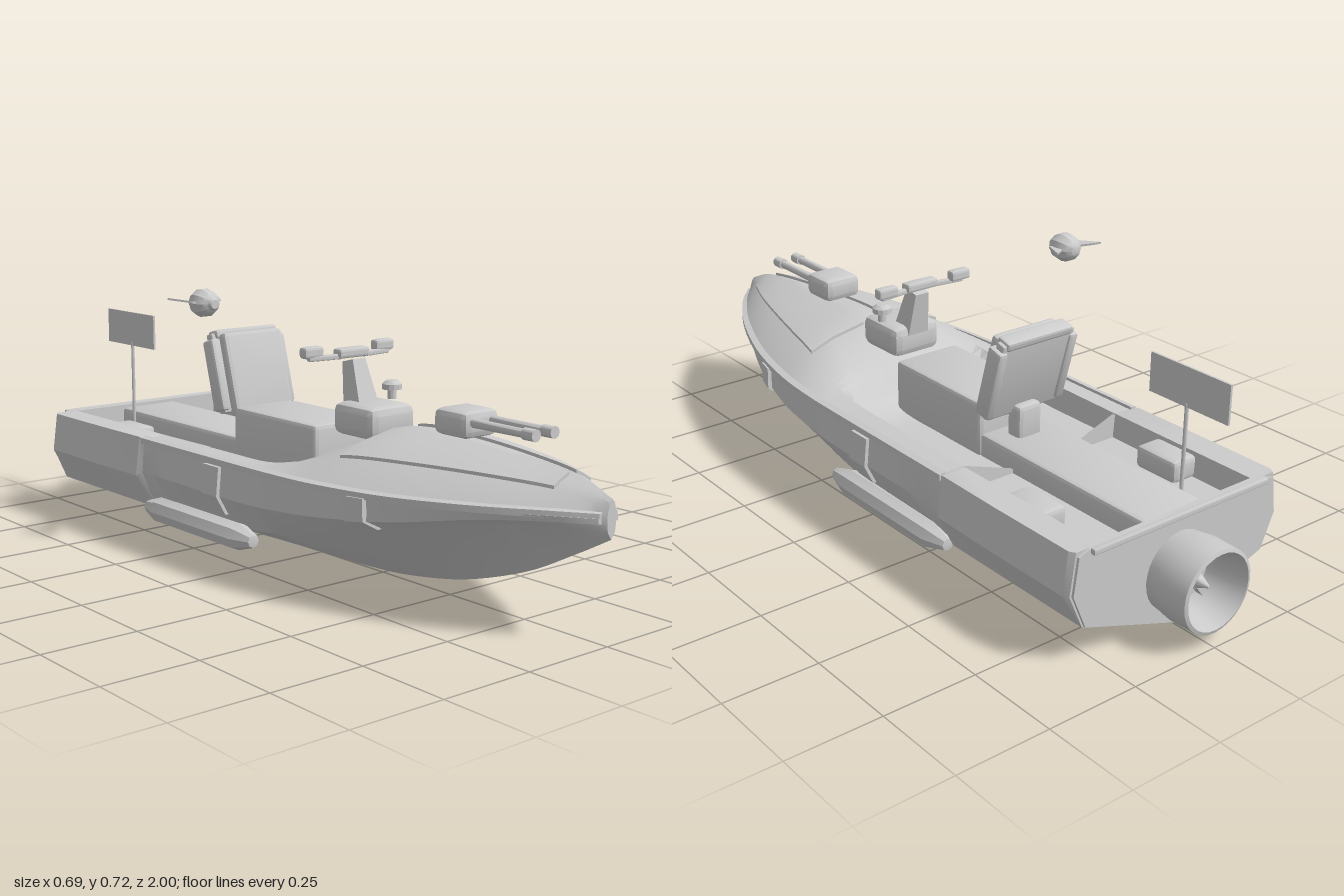
import * as THREE from 'three';
import { toCreasedNormals } from 'three/addons/utils/BufferGeometryUtils.js';
import { RoundedBoxGeometry } from 'three/addons/geometries/RoundedBoxGeometry.js';

const grey = new THREE.MeshStandardMaterial({ color: 0xcccccc, side: THREE.DoubleSide });
const V = (x, y, z) => new THREE.Vector3(x, y, z);
const outlineOf = pts => pts.map(p => new THREE.Vector2(...p));

// Hull stations: z, keel height, deck centre height,
// then x, y of chine, side, sheer, shoulder and inner deck
const STATIONS = [
  [1.0, .245, .337, .012, .262, .014, .28, .015, .30, .010, .322, .007, .33],
  [.9, .19, .375, .06, .262, .088, .28, .095, .302, .055, .345, .035, .358],
  [.75, .115, .392, .12, .25, .17, .268, .18, .298, .115, .356, .075, .372],
  [.55, .05, .404, .185, .205, .252, .235, .255, .292, .17, .357, .11, .38],
  [.35, .015, .402, .235, .155, .302, .215, .298, .29, .212, .348, .14, .375],
  [.2, .004, .34, .258, .132, .318, .205, .312, .29, .236, .318, .18, .322],
  [.08, 0, .235, .27, .12, .323, .20, .315, .29, .246, .298, .235, .25],
  [-.1, 0, .23, .28, .11, .325, .20, .316, .29, .25, .297, .245, .23],
  [-.39, .002, .23, .284, .10, .325, .20, .317, .29, .25, .296, .245, .23],
];
const LAST = STATIONS.length - 1;
const column = pick => new THREE.CatmullRomCurve3(
  STATIONS.map(s => V(...pick(s), s[0])), false, 'catmullrom', .5);
const COLUMNS = [column(s => [0, s[1]]),
  ...[3, 5, 7, 9, 11].map(i => column(s => [s[i], s[i + 1]])),
  column(s => [0, s[2]])];

// Half-section at station index s (fractions allowed):
// keel, chine, side, sheer, shoulder, inner deck, deck edge, deck centre
function section(s) {
  const h = COLUMNS.map(c => c.getPoint(s / LAST));
  h.splice(6, 0, h[5].clone().lerp(h[6], .6));
  return h;
}
const flip = p => V(-p.x, p.y, p.z);
const fullRing = half => [...half, ...half.slice(1, -1).reverse().map(flip)];
const range = (a, b, n) => Array.from({ length: n + 1 }, (_, i) => a + (b - a) * i / n);

// Skin closed rings running from front to back and cap both ends
function loft(rings, crease = .5) {
  const n = rings[0].length, pos = [];
  const tri = (...ps) => ps.forEach(p => pos.push(p.x, p.y, p.z));
  for (let i = 0; i + 1 < rings.length; i++) for (let j = 0; j < n; j++) {
    const k = (j + 1) % n, [a, b, c, d] = [rings[i][j], rings[i][k], rings[i + 1][j], rings[i + 1][k]];
    tri(a, c, b);
    tri(b, c, d);
  }
  for (const [ring, front] of [[rings[0], true], [rings.at(-1), false]]) {
    const mid = ring.reduce((m, p) => m.add(p), V(0, 0, 0)).divideScalar(n);
    ring.forEach((p, j) => front ? tri(mid, p, ring[(j + 1) % n]) : tri(mid, ring[(j + 1) % n], p));
  }
  const g = new THREE.BufferGeometry();
  g.setAttribute('position', new THREE.Float32BufferAttribute(pos, 3));
  return toCreasedNormals(g, crease);
}

export function createModel() {
  const model = new THREE.Group();
  const add = (name, geo, x = 0, y = 0, z = 0, parent = model) => {
    const m = new THREE.Mesh(geo, grey);
    m.name = name;
    m.position.set(x, y, z);
    parent.add(m);
    return m;
  };
  const box = (name, w, h, d, x, y, z, parent = model, r = .012) =>
    add(name, toCreasedNormals(new RoundedBoxGeometry(w, h, d, 1, Math.min(r, w / 3, h / 3, d / 3)), .4), x, y, z, parent);
  const rod = (name, backR, frontR, len, x, y, z) =>
    add(name, toCreasedNormals(new THREE.CylinderGeometry(frontR, backR, len, 12).rotateX(Math.PI / 2), .6), x, y, z);
  const lathe = (profile, sides, turn) =>
    toCreasedNormals(new THREE.LatheGeometry(outlineOf(profile), sides).rotateX(turn), .45);

  // Front hull with foredeck and cockpit well
  add('hull', loft(range(0, LAST, 40).map(s => fullRing(section(s)))));

  // Wider stern hull
  const sternRing = (z, grow) => {
    const h = section(LAST).map(p => p.setZ(z));
    if (grow) {
      h[1].set(.29, .098, z);
      h[2].set(.325 + grow, .19, z);
      h[3].set(.31 + grow, .297, z);
    }
    return fullRing(h);
  };
  add('sternHull', loft([sternRing(-.385, 0), sternRing(-.40, .012), sternRing(-.6, .015),
    sternRing(-.85, .015), sternRing(-.865, .006)]));

  // Transom closing the well
  const half = [[0, .003], [.286, .1], [.325, .19], [.312, .285], [.28, .297]];
  const transom = new THREE.Shape(outlineOf([...half, ...half.slice(1).reverse().map(([x, y]) => [-x, y])]));
  add('transom', new THREE.ExtrudeGeometry(transom, { depth: .018, bevelEnabled: false }), 0, 0, -.872);
  box('transomRail', .56, .016, .016, 0, .292, -.878, model, .004);

  for (const side of [1, -1]) {
    // Raised strips that follow the hull between two stations
    const patch = (name, s0, s1, n, ring) => add(name, loft(range(s0, s1, n).map(s => {
      const r = ring(section(s));
      return side > 0 ? r : r.map(flip).reverse();
    }), .4));
    const strap = (low, high, thick) => h => {
      const pts = [h[1].clone().lerp(h[2], low), h[2], h[2].clone().lerp(h[3], high)];
      return [...pts.map(p => V(p.x + thick, p.y, p.z)), ...pts.reverse().map(p => V(p.x - .006, p.y, p.z))];
    };
    patch('sheerRail', .1, LAST, 36, h => [[-.008, -.012], [.007, -.010], [.007, .006], [-.012, .010]]
      .map(([x, y]) => V(Math.max(0, h[3].x + x), h[3].y + y, h[3].z)));
    patch('frontStrap', 3.28, 3.52, 2, strap(.3, .9, .012));
    patch('rearStrap', 6.62, 6.95, 2, strap(.4, .85, .010));
    patch('bowPlate', .1, 1.35, 8, h => [[.1, -.004], [.1, .010], [.75, .010], [.75, -.004]].map(([f, out]) => {
      const p = h[2].clone().lerp(h[3], f);
      return p.setX(p.x + out);
    }));
    patch('foredeckPanel', 1.12, 4.1, 20, h => {
      const top = [h[4], h[5], h[6].clone().lerp(h[7], .3)];
      return [...top.map(p => V(p.x, p.y + .008, p.z)), ...top.reverse().map(p => V(p.x, p.y - .012, p.z))];
    });

    // Side float with tapered ends, and locker in the well
    add('sideFloat', lathe([[0, -.245], [.017, -.242], [.036, -.18], [.036, .18], [.017, .242], [0, .245]],
      8, Math.PI / 2), side * .3, .1, -.15);
    box('wellLocker', .08, .06, .135, side * .215, .258, -.612);
  }

  // Water jet nozzle with spinner
  add('jetNozzle', lathe([[0, .03], [.075, .03], [.08, .075], [.098, .138], [.107, .135], [.109, .06],
    [.104, .03], [.1, -.01]], 28, -Math.PI / 2), 0, .145, -.862);
  rod('jetHub', .018, .036, .05, 0, .145, -.912);
  rod('jetSpinner', .003, .018, .035, 0, .145, -.952);
  for (let i = 0; i < 5; i++) {
    const blade = add('jetBlade', new THREE.BoxGeometry(.008, .06, .02).translate(0, .05, 0), 0, .145, -.905);
    blade.rotation.z = i * Math.PI * .4;
  }

  // Bench and leaning seat back
  box('frontBench', .2, .15, .36, 0, .3, -.085);
  box('rearBench', .19, .07, .60, 0, .255, -.555);
  box('seatSupport', .075, .1, .05, 0, .325, -.32);
  const seat = new THREE.Group();
  seat.name = 'seatBack';
  seat.position.set(0, .335, -.275);
  seat.rotation.x = -.27;
  model.add(seat);
  box('seatCushion', .2, .235, .035, 0, .125, .018, seat);
  box('seatPlate', .23, .225, .03, 0, .135, -.018, seat, .006);
  for (const side of [1, -1]) box('seatSideBar', .028, .2, .05, side * .113, .13, -.015, seat, .008);
  box('seatTopBar', .21, .025, .045, 0, .243, -.015, seat, .008);

  // Steering console, column and handlebar
  box('console', .15, .085, .16, 0, .4, .21, model, .022);
  const steering = add('steeringColumn', toCreasedNormals(new THREE.CylinderGeometry(.03, .046, .12, 4)
    .rotateY(Math.PI / 4), .4), 0, .485, .145);
  steering.rotation.x = -.25;
  box('handlebarClamp', .1, .026, .035, 0, .562, .12, model, .008);
  for (const side of [1, -1]) {
    const arm = box('handlebarArm', .1, .014, .016, side * .085, .554, .115, model, .004);
    arm.rotation.y = side * .12;
    box('handlebarGrip', .062, .03, .03, side * .12, .57, .105, model, .008);
  }
  add('consoleBeacon', lathe([[0, -.035], [.012, -.035], [.012, -.012], [.026, -.01], [.026, .004],
    [.015, .013], [0, .014]], 12, 0), .062, .48, .21);

  // Twin-barrel deck turret
  box('turret', .115, .066, .115, 0, .443, .545, model, .018);
  for (const x of [.031, -.031]) {
    rod('turretBarrel', .012, .011, .2, x, .45, .69);
    rod('barrelMuzzle', .015, .015, .035, x, .45, .783);
  }

  // Panel on a pole beside the rear bench
  add('signPole', new THREE.CylinderGeometry(.005, .005, .27, 8), -.105, .365, -.77);
  add('signPanel', new THREE.BoxGeometry(.006, .1, .25), -.105, .542, -.775);

  // Hovering drone with swept wings
  const drone = new THREE.Group();
  drone.name = 'drone';
  drone.position.set(-.27, .685, -.155);
  model.add(drone);
  add('droneBody', toCreasedNormals(new THREE.SphereGeometry(.038, 10, 8)
    .rotateX(Math.PI / 2).scale(1, 1, 1.2), .5), 0, 0, 0, drone);
  add('droneEye', new THREE.CylinderGeometry(.012, .02, .014, 10).rotateX(Math.PI / 2), 0, 0, .042, drone);
  const wing = new THREE.Shape(outlineOf([[.025, .015], [.045, .012], [.077, -.055], [.06, -.045], [.025, -.018]]));
  const wingGeo = new THREE.ExtrudeGeometry(wing, { depth: .005, bevelEnabled: false }).rotateX(Math.PI / 2);
  for (const side of [1, -1]) {
    const w = add('droneWing', wingGeo, 0, 0, 0, drone);
    w.scale.x = side;
    w.rotation.z = side * .17;
  }
  return model;
}
